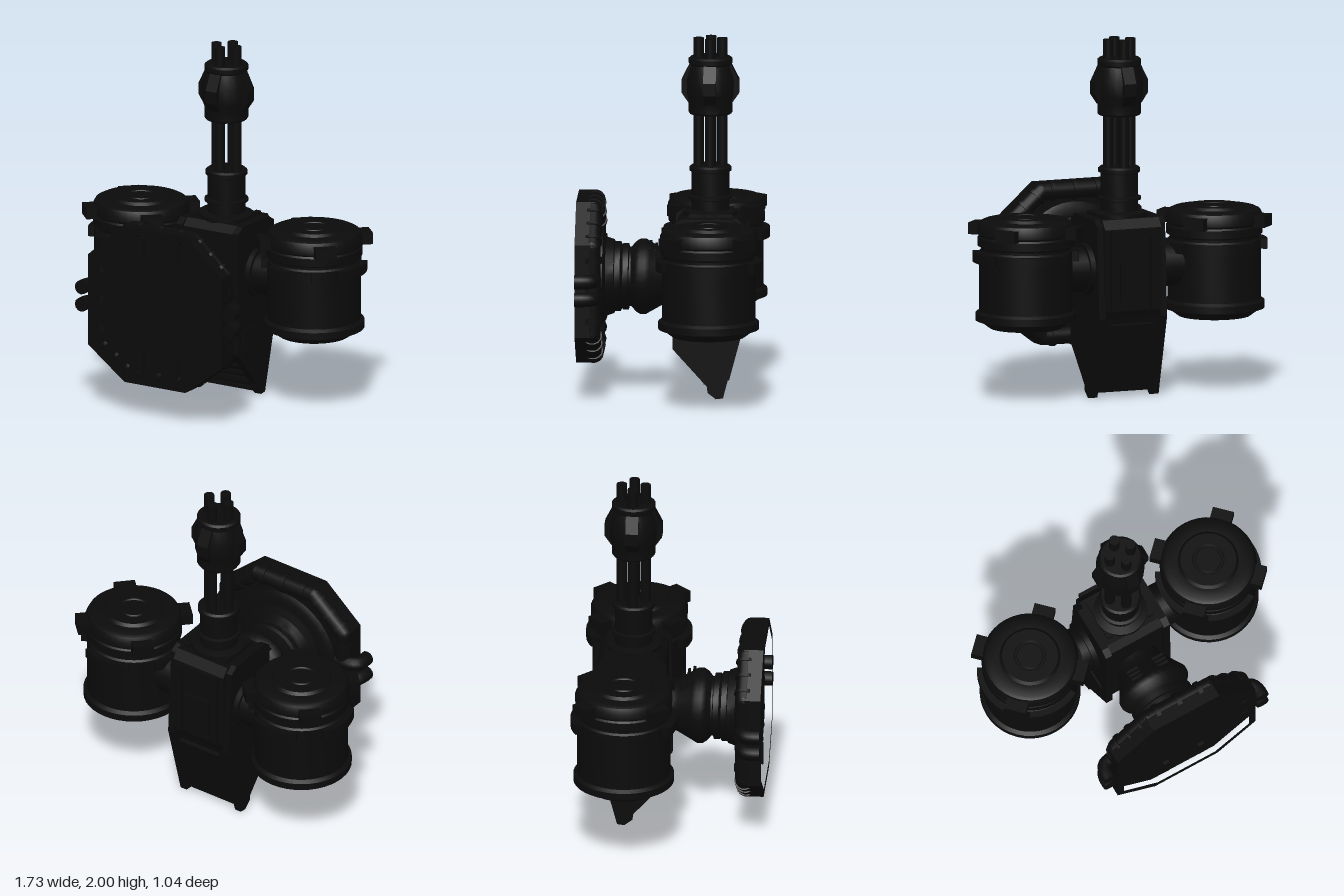
import * as THREE from 'three';
import { toCreasedNormals } from 'three/addons/utils/BufferGeometryUtils.js';

const black = new THREE.MeshStandardMaterial({ color: 0x0b0b0b });
black.name = 'matte black';

const V = (x, y, z) => new THREE.Vector3(x, y, z);

function add(parent, name, geometry, x = 0, y = 0, z = 0) {
  const mesh = new THREE.Mesh(geometry, black);
  mesh.name = name;
  mesh.position.set(x, y, z);
  parent.add(mesh);
  return mesh;
}

const box = (w, h, d) => new THREE.BoxGeometry(w, h, d);
// profile of [radius, height], listed from bottom to top
const lathe = (profile, sides = 32) => toCreasedNormals(
  new THREE.LatheGeometry(profile.map(p => new THREE.Vector2(...p)), sides), 0.6);
const shapeOf = pts => new THREE.Shape(pts.map(p => new THREE.Vector2(...p)));
const extrude = (shape, depth) => new THREE.ExtrudeGeometry(shape, { depth, bevelEnabled: false, curveSegments: 12 });
// side outline of [z, y], spread across x
const sideExtrude = (pts, width) =>
  extrude(shapeOf(pts.map(([z, y]) => [-z, y])), width).rotateY(Math.PI / 2).translate(-width / 2, 0, 0);

function rod(parent, name, a, b, r, sides = 14) {
  const mesh = add(parent, name, new THREE.CylinderGeometry(r, r, a.distanceTo(b), sides));
  mesh.position.copy(a).lerp(b, 0.5);
  mesh.quaternion.setFromUnitVectors(V(0, 1, 0), b.clone().sub(a).normalize());
  return mesh;
}

// octagon of the mounting plate, drawn in by d
const octagon = d => [
  [0.21 - d * 0.4, 1.105 - d], [0.44 - d, 0.9 - d * 0.4], [0.44 - d, 0.38 + d * 0.4], [0.2 - d * 0.4, 0.2 + d],
  [-0.2 + d * 0.4, 0.2 + d], [-0.44 + d, 0.38 + d * 0.4], [-0.44 + d, 0.9 - d * 0.4], [-0.21 + d * 0.4, 1.105 - d]];

function mountingPlate() {
  const g = new THREE.Group();
  g.name = 'mountingPlate';
  add(g, 'plateFloor', extrude(shapeOf(octagon(0)), 0.06), 0, 0, 0.42);
  const rim = shapeOf(octagon(0));
  rim.holes.push(new THREE.Path(octagon(0.04).map(p => new THREE.Vector2(...p))));
  add(g, 'plateRim', extrude(rim, 0.045), 0, 0, 0.48);
  for (const x of [-0.11, 0.11]) {
    add(g, 'frontBar', box(0.035, 0.1, 0.03), x, 0.99, 0.485);
    add(g, 'frontBar', box(0.035, 0.12, 0.03), x, 0.32, 0.485);
  }
  // pipe round the back edge, with collars
  const corners = octagon(0.045).map(([x, y]) => V(x, y, 0.43));
  corners.forEach((a, i) => {
    const b = corners[(i + 1) % corners.length];
    rod(g, 'rimPipe', a, b, 0.048);
    add(g, 'pipeBend', new THREE.SphereGeometry(0.048, 14, 10), a.x, a.y, a.z);
    for (const t of [0.15, 0.5, 0.85])
      rod(g, 'pipeCollar', a.clone().lerp(b, t - 0.035), a.clone().lerp(b, t + 0.035), 0.056);
  });
  // paired hose elbows on each side
  for (const s of [-1, 1]) for (const y of [0.6, 0.7]) {
    const path = new THREE.CatmullRomCurve3([
      V(s * 0.36, y, 0.42), V(s * 0.43, y, 0.42), V(s * 0.472, y, 0.437), V(s * 0.487, y, 0.475), V(s * 0.487, y, 0.524)]);
    add(g, 'hoseElbow', new THREE.TubeGeometry(path, 16, 0.04, 12));
    add(g, 'hoseEnd', new THREE.CircleGeometry(0.04, 12), s * 0.487, y, 0.524);
  }
  return g;
}

function neck() {
  // stepped dish and ball joint, turned about the z axis
  const g = new THREE.Group();
  g.name = 'neck';
  add(g, 'ballJoint', lathe([[0, -0.08], [0.13, -0.06], [0.13, 0], [0.15, 0.04], [0.195, 0.12], [0.21, 0.145],
    [0.21, 0.175], [0.195, 0.2], [0.165, 0.225], [0.165, 0.235], [0.185, 0.24], [0.185, 0.27], [0.178, 0.275],
    [0.195, 0.285], [0.195, 0.315], [0.205, 0.32], [0.22, 0.365], [0.26, 0.38], [0.26, 0.4], [0.31, 0.4],
    [0.34, 0.42]]).rotateX(Math.PI / 2), 0, 0.655, 0);
  for (const s of [-1, 1]) for (let i = 0; i < 3; i++)
    add(g, 'vent', box(0.07, 0.012, 0.015), s * 0.08, 0.805 + i * 0.015, 0.06 + i * 0.03);
  return g;
}

function drum(side) {
  const g = new THREE.Group();
  g.name = side > 0 ? 'leftDrum' : 'rightDrum';
  g.position.set(side * 0.57, 0, -0.225);
  add(g, 'drumBody', lathe([[0, 0.43], [0.16, 0.43], [0.18, 0.415], [0.2, 0.415], [0.255, 0.455], [0.28, 0.46],
    [0.28, 0.5], [0.26, 0.515], [0.26, 0.845], [0.25, 0.855], [0.25, 0.87], [0.268, 0.88], [0.268, 0.925],
    [0.26, 0.935], [0.27, 0.945], [0.27, 0.98], [0.255, 1.01], [0.235, 1.02], [0.17, 1.02], [0.155, 1.035],
    [0.09, 1.035], [0.085, 1.028], [0.075, 1.028], [0.07, 1.035], [0, 1.035]], 40));
  // band broken into four arcs
  for (let i = 0; i < 4; i++) {
    const arc = new THREE.Shape(), m = i * Math.PI / 2, h = 0.52;
    arc.absarc(0, 0, 0.295, m - h, m + h, false);
    arc.absarc(0, 0, 0.25, m + h, m - h, true);
    add(g, 'bandArc', extrude(arc, 0.055).rotateX(-Math.PI / 2), 0, 0.79, 0);
    // clamp on each diagonal of the lid
    const a = m + Math.PI / 4;
    add(g, 'lidClamp', box(0.12, 0.065, 0.1), Math.sin(a) * 0.272, 0.962, Math.cos(a) * 0.272).rotation.y = a;
  }
  return g;
}

function body() {
  const g = new THREE.Group();
  g.name = 'body';
  add(g, 'core', sideExtrude([[-0.03, 0.97], [-0.03, 0.31], [-0.215, 0.1], [-0.235, 0.03], [-0.28, 0.03],
    [-0.395, 0.46], [-0.41, 0.5], [-0.41, 0.96], [-0.37, 1.01], [-0.07, 1.01]], 0.34));
  // armoured cheek plates
  const cheek = sideExtrude([[-0.015, 0.98], [-0.01, 0.28], [-0.2, 0.07], [-0.205, 0.035], [-0.25, 0],
    [-0.29, 0.005], [-0.41, 0.46], [-0.38, 0.98], [-0.33, 1.01], [-0.06, 1.01]], 0.04);
  for (const s of [-1, 1]) {
    add(g, 'cheekPlate', cheek, s * 0.185, 0, 0);
    add(g, 'cheekInset', sideExtrude([[-0.06, 0.42], [-0.06, 0.3], [-0.13, 0.22], [-0.17, 0.42]], 0.012), s * 0.208, 0, 0);
    rod(g, 'drumArm', V(s * 0.16, 0.72, -0.225), V(s * 0.34, 0.72, -0.225), 0.125, 24);
    rod(g, 'armFlange', V(s * 0.2, 0.72, -0.225), V(s * 0.235, 0.72, -0.225), 0.145, 24);
    // rails down the back
    add(g, 'backRail', box(0.035, 0.42, 0.03), s * 0.12, 0.72, -0.418);
    add(g, 'topRail', box(0.03, 0.03, 0.24), s * 0.13, 1.015, -0.22);
  }
  add(g, 'backPanel', box(0.16, 0.22, 0.03), 0, 0.66, -0.417);
  add(g, 'backCap', box(0.28, 0.05, 0.03), 0, 0.93, -0.418);
  const lower = add(g, 'lowerBackPanel', box(0.26, 0.34, 0.03), 0, 0.26, -0.35);
  lower.rotation.x = -0.262;
  // slats between the cheek plates
  for (let i = 0; i < 4; i++)
    add(g, 'slat', box(0.34, 0.018, 0.035), 0, 0.035 + i * 0.05, -0.225 + i * 0.026);
  return g;
}

function barrels() {
  const g = new THREE.Group();
  g.name = 'barrelCluster';
  g.position.z = -0.213;
  add(g, 'barrelBase', lathe([[0.15, 0.99], [0.15, 1.03], [0.105, 1.04], [0.105, 1.095], [0.122, 1.1], [0.122, 1.115],
    [0.105, 1.12], [0.105, 1.25], [0.117, 1.255], [0.117, 1.275], [0.105, 1.285], [0, 1.285]], 24));
  add(g, 'muzzleHousing', lathe([[0, 1.575], [0.115, 1.575], [0.122, 1.585], [0.122, 1.64], [0.133, 1.68],
    [0.136, 1.77], [0.112, 1.85], [0.122, 1.86], [0.122, 1.885], [0.11, 1.895], [0, 1.895]], 24));
  const fin = sideExtrude([[0.08, 1.61], [0.122, 1.64], [0.16, 1.695], [0.16, 1.765], [0.115, 1.855], [0.08, 1.855]], 0.07);
  for (let i = 0; i < 4; i++) {
    const a = i * Math.PI / 2, x = Math.sin(a) * 0.066, z = Math.cos(a) * 0.066;
    rod(g, 'barrel', V(x, 1.2, z), V(x, 2, z), 0.029, 16);
    add(g, 'housingFin', fin).rotation.y = a;
  }
  return g;
}

export function createModel() {
  const model = new THREE.Group();
  model.name = 'gunTurret';
  model.add(mountingPlate(), neck(), body(), barrels(), drum(1), drum(-1));
  return model;
}
